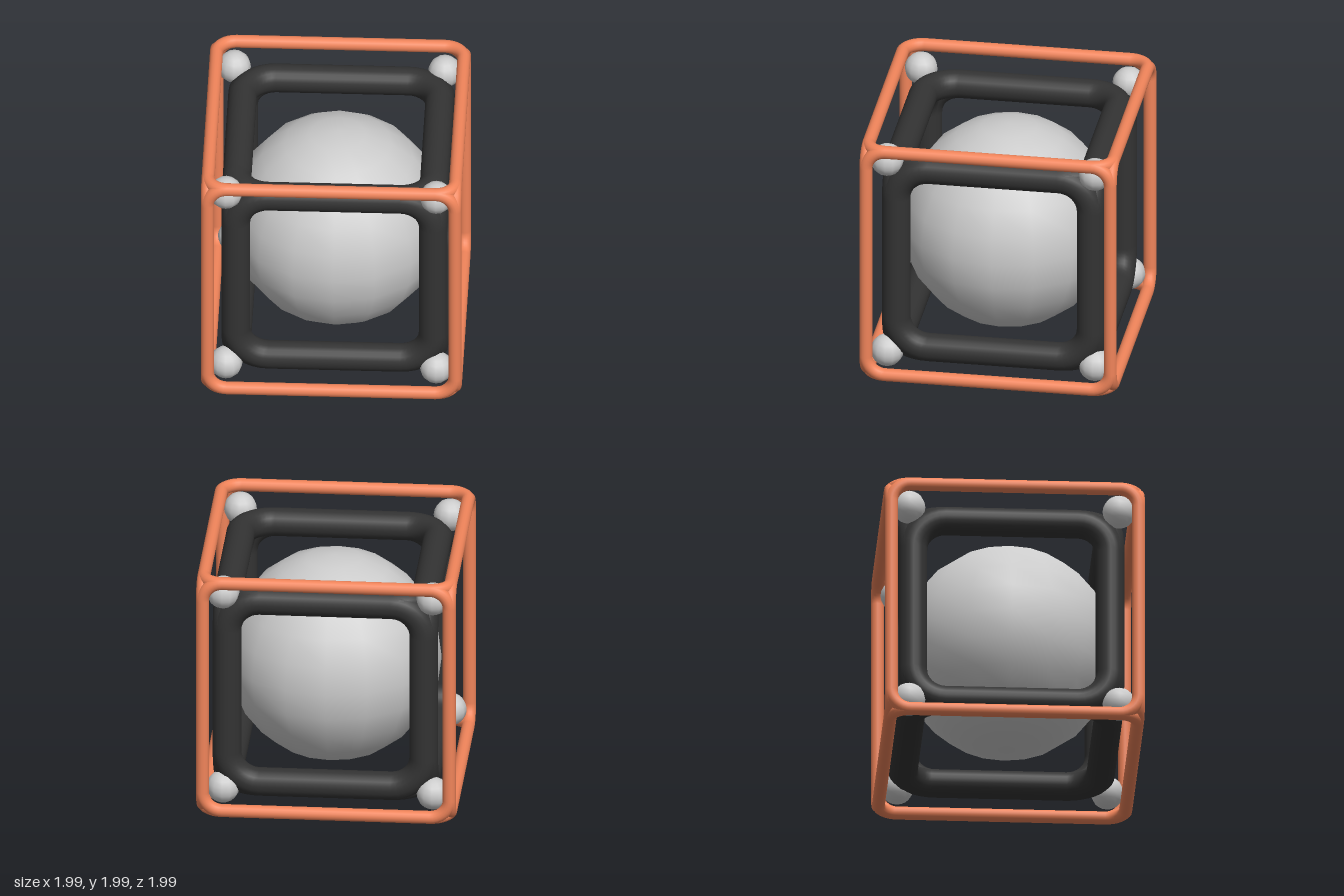
import * as THREE from 'three';
import { mergeGeometries } from 'three/addons/utils/BufferGeometryUtils.js';

const HALF_PI = Math.PI / 2;
const SIGNS = [-1, 1];

// Rotations that turn the +z face of a cube onto each of its six faces
const FACES = [[0, 0], [0, HALF_PI], [0, Math.PI], [0, -HALF_PI], [HALF_PI, 0], [-HALF_PI, 0]];

// Tubular cube frame: twelve straight bars joined by a quarter bend in every face corner
function cubeFrame(half, tube, bend, sides) {
  const parts = [];
  const straight = half - bend;

  for (const a of SIGNS) {
    for (const b of SIGNS) {
      const bar = () => new THREE.CylinderGeometry(tube, tube, 2 * straight, sides, 1, true);
      parts.push(bar().translate(a * half, 0, b * half));
      parts.push(bar().rotateZ(HALF_PI).translate(0, a * half, b * half));
      parts.push(bar().rotateX(HALF_PI).translate(a * half, b * half, 0));
    }
  }

  for (const [rx, ry] of FACES) {
    for (let i = 0; i < 4; i++) {
      parts.push(new THREE.TorusGeometry(bend, tube, sides, 8, HALF_PI)
        .translate(straight, straight, half)
        .rotateZ(i * HALF_PI)
        .rotateX(rx)
        .rotateY(ry));
    }
  }
  return mergeGeometries(parts);
}

export function createModel() {
  const model = new THREE.Group();
  model.name = 'nestedCubes';

  const grey = new THREE.MeshStandardMaterial({ color: 0xcccccc });
  const orange = new THREE.MeshStandardMaterial({ color: 0xf0845a });
  const dark = new THREE.MeshStandardMaterial({ color: 0x333333 });

  const add = (name, geometry, material, x, y, z) => {
    const mesh = new THREE.Mesh(geometry, material);
    mesh.name = name;
    mesh.position.set(x, y, z);
    model.add(mesh);
  };

  // Thin outer frame and thick inner frame
  add('outerFrame', cubeFrame(0.947, 0.05, 0.15, 16), orange, -0.003, 1.003, 0);
  add('innerFrame', cubeFrame(0.755, 0.11, 0.25, 20), dark, 0.015, 0.987, -0.015);

  // Large sphere in the middle
  add('coreSphere', new THREE.SphereGeometry(0.825, 16, 12), grey, 0.01, 0.99, -0.01);

  // Small balls between the frame corners
  const ball = new THREE.SphereGeometry(0.127, 12, 10);
  for (const x of SIGNS) {
    for (const y of SIGNS) {
      for (const z of SIGNS) {
        add('cornerBall', ball, grey, x * 0.805 - 0.008, 1.008 + y * 0.81, z * 0.805);
      }
    }
  }
  return model;
}
